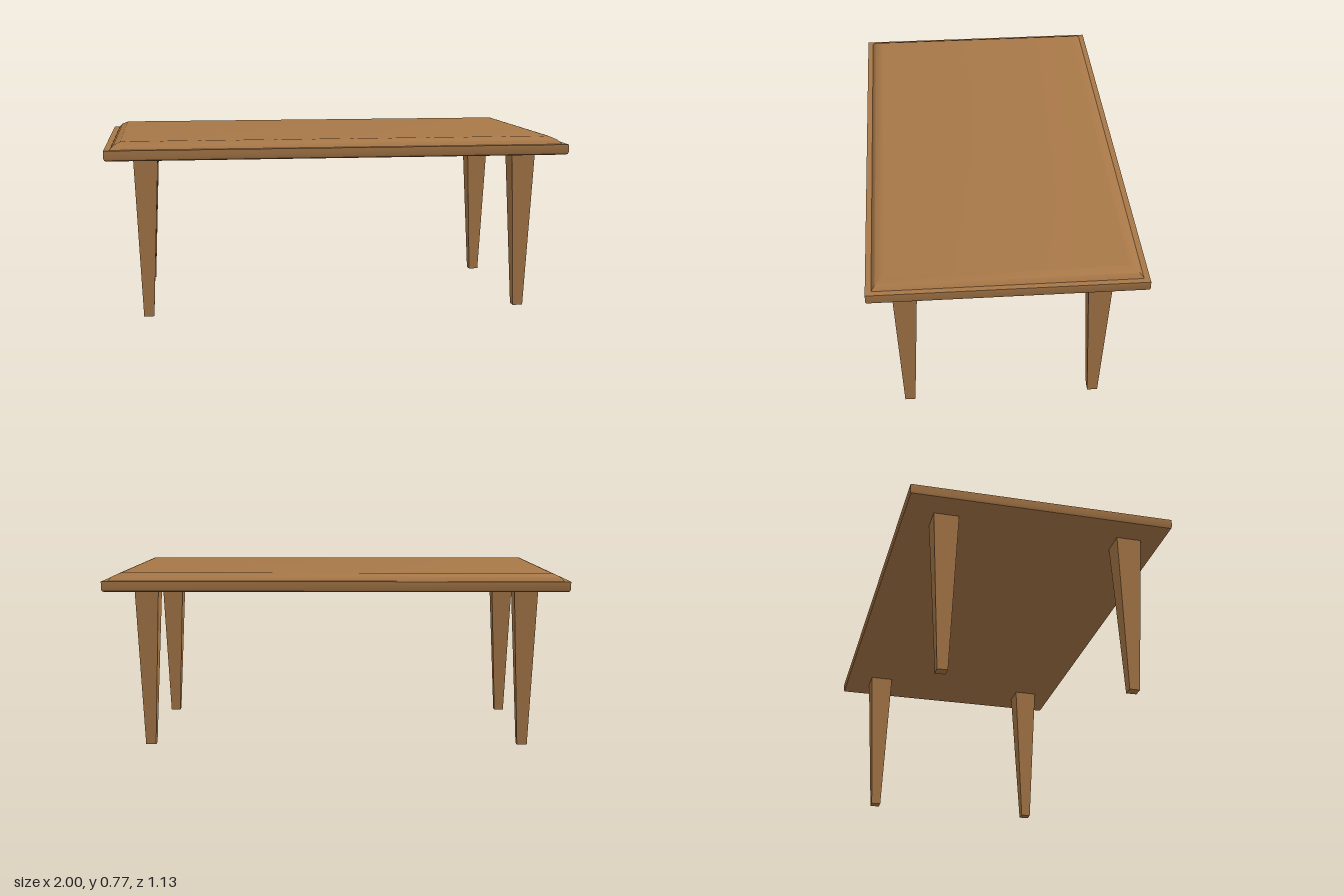
import * as THREE from 'three';
import { toCreasedNormals } from 'three/addons/utils/BufferGeometryUtils.js';

const wood = new THREE.MeshStandardMaterial({ color: 0xa87848 });
wood.name = 'warm wood';

// Solid lofted through rectangular rings [halfX, halfZ, y], listed bottom to top
function rectLoft(name, rings, crease) {
  const pos = [], index = [];
  for (const [x, z, y] of rings) pos.push(-x, y, z, x, y, z, x, y, -z, -x, y, -z);
  for (let r = 0; r < rings.length - 1; r++) {
    for (let i = 0; i < 4; i++) {
      const a = r * 4 + i, b = r * 4 + (i + 1) % 4;
      index.push(a, b, b + 4, a, b + 4, a + 4);
    }
  }
  const t = (rings.length - 1) * 4;
  index.push(0, 2, 1, 0, 3, 2, t, t + 1, t + 2, t, t + 2, t + 3);
  const geo = new THREE.BufferGeometry();
  geo.setAttribute('position', new THREE.Float32BufferAttribute(pos, 3));
  geo.setIndex(index);
  const mesh = new THREE.Mesh(toCreasedNormals(geo, crease), wood);
  mesh.name = name;
  return mesh;
}

export function createModel() {
  const table = new THREE.Group();
  table.name = 'table';

  // Edge slab with a small chamfer underneath
  table.add(rectLoft('topSlab', [
    [0.99, 0.553, 0.697], [0.997, 0.56, 0.701], [1, 0.563, 0.71], [1, 0.563, 0.742],
  ], 0.7));

  // Raised panel with a rounded edge
  table.add(rectLoft('topPanel', [
    [0.977, 0.54, 0.74], [0.972, 0.535, 0.748], [0.96, 0.523, 0.76], [0.932, 0.495, 0.773], [0.925, 0.488, 0.774],
  ], 0.65));

  // Square tapered legs
  for (const [side, x] of [['Left', 0.826], ['Right', -0.829]]) {
    for (const [end, z] of [['front', 0.412], ['back', -0.388]]) {
      const leg = rectLoft(end + side + 'Leg', [[0.022, 0.022, 0], [0.052, 0.054, 0.7]], 0.5);
      leg.position.set(x, 0, z);
      table.add(leg);
    }
  }
  return table;
}
